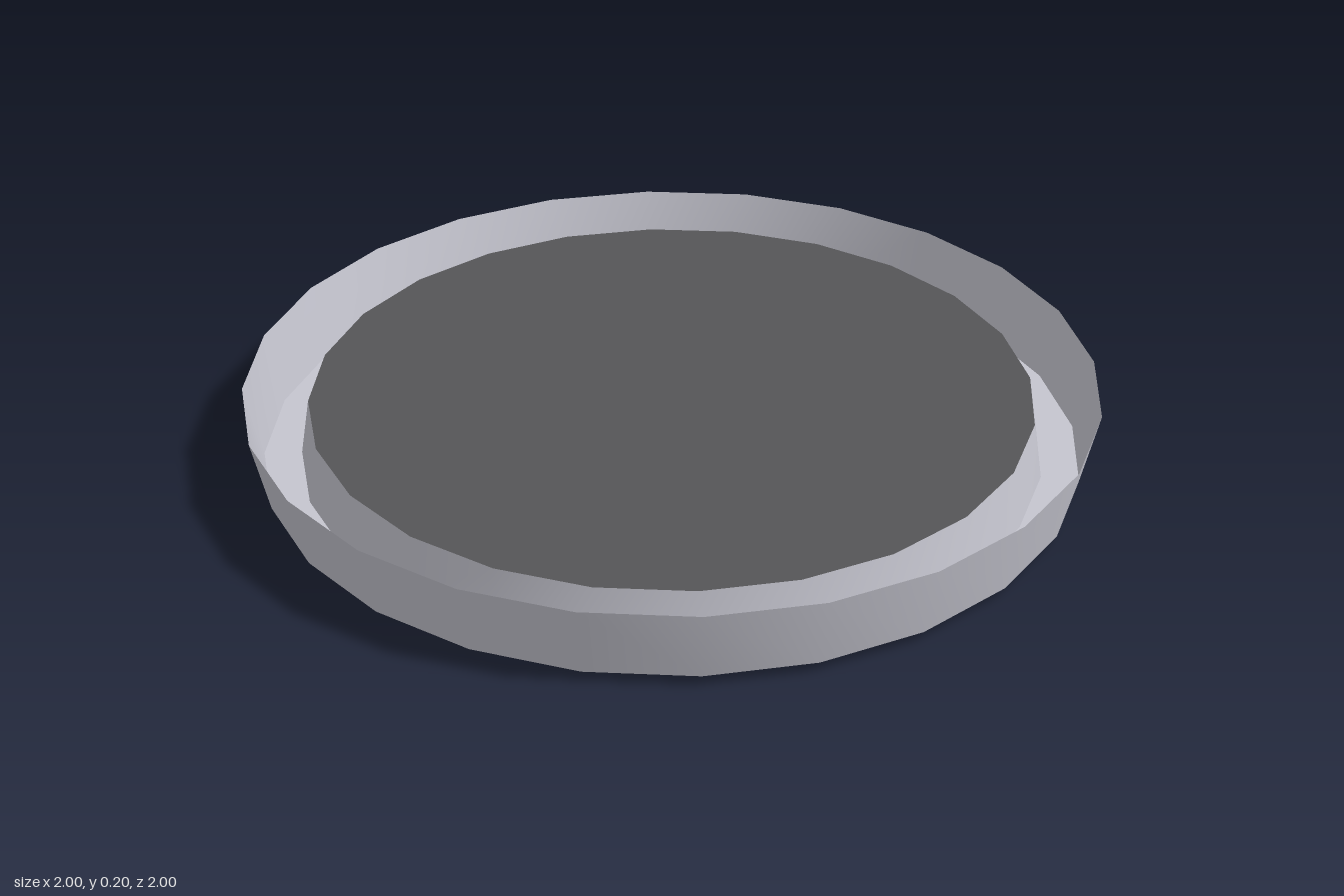
import * as THREE from 'three';
import { toCreasedNormals } from 'three/addons/utils/BufferGeometryUtils.js';

const SIDES = 24;
const BLADES = 16;
const DISK_Y = 0.162;

function makeMaterial(name, color) {
  const material = new THREE.MeshStandardMaterial({ color, side: THREE.DoubleSide });
  material.name = name;
  return material;
}
const lightGrey = makeMaterial('lightGrey', 0xc5c5cf);
const charcoal = makeMaterial('charcoal', 0x555557);
const darkCharcoal = makeMaterial('darkCharcoal', 0x3d3d3d);

function addMesh(parent, name, geometry, material) {
  const mesh = new THREE.Mesh(geometry, material);
  mesh.name = name;
  parent.add(mesh);
  return mesh;
}

function polar(radius, degrees, y) {
  const a = THREE.MathUtils.degToRad(degrees);
  return [radius * Math.cos(a), y, radius * Math.sin(a)];
}

// Pitched wedge blade, wide at the rim and slightly twisted toward the hub
function bladeGeometry() {
  const geometry = new THREE.BufferGeometry();
  const corners = [
    ...polar(0.25, -9, 0.115), ...polar(0.845, -8, 0.138),
    ...polar(0.845, 8, 0.018), ...polar(0.25, 9, 0.042),
  ];
  geometry.setAttribute('position', new THREE.Float32BufferAttribute(corners, 3));
  geometry.setIndex([0, 2, 1, 0, 3, 2]);
  geometry.computeVertexNormals();
  return geometry;
}

export function createModel() {
  const model = new THREE.Group();
  model.name = 'fan';

  // Thin flared housing: inner wall, flat floor ring, outer wall
  const profile = [[0.85, DISK_Y], [0.873, 0.025], [0.961, 0.025], [1, 0.2]]
    .map(([r, y]) => new THREE.Vector2(r, y));
  addMesh(model, 'housing', toCreasedNormals(new THREE.LatheGeometry(profile, SIDES), 0.6), lightGrey);

  // Flat cover plate
  const plate = addMesh(model, 'coverPlate', new THREE.CircleGeometry(0.85, SIDES), charcoal);
  plate.rotation.x = -Math.PI / 2;
  plate.position.y = DISK_Y;

  // Central hub below the plate
  const hub = addMesh(model, 'hub', new THREE.CylinderGeometry(0.265, 0.265, DISK_Y - 0.005, SIDES), lightGrey);
  hub.position.y = (DISK_Y - 0.005) / 2;

  // Ring of blades
  const blades = new THREE.Group();
  blades.name = 'blades';
  model.add(blades);
  const shape = bladeGeometry();
  for (let i = 0; i < BLADES; i++) {
    addMesh(blades, 'blade', shape, darkCharcoal).rotation.y = (i / BLADES) * Math.PI * 2;
  }
  return model;
}
